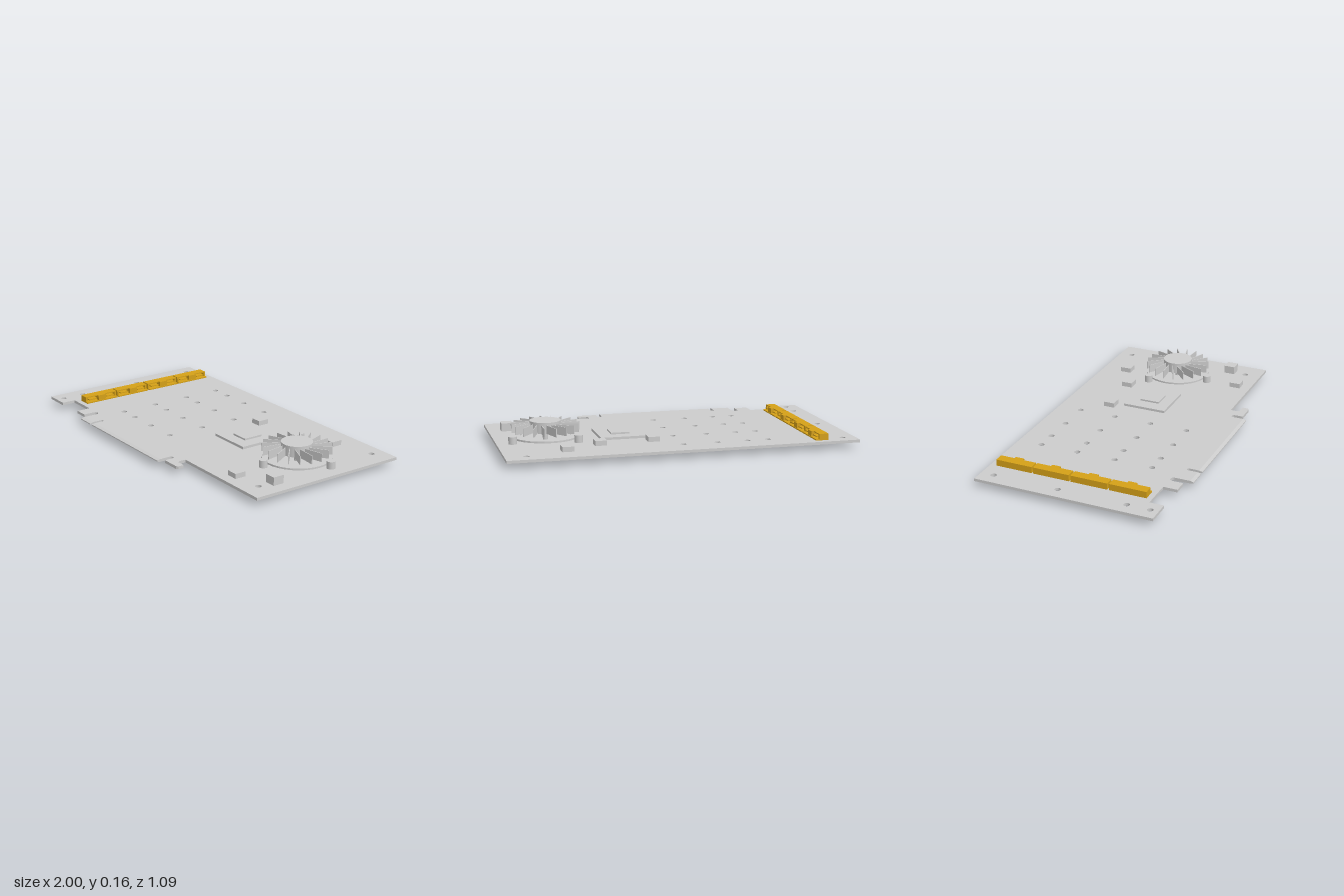
import * as THREE from 'three';

const grey = new THREE.MeshStandardMaterial({ color: 0xcccccc, flatShading: true });
const smooth = new THREE.MeshStandardMaterial({ color: 0xcccccc });
const gold = new THREE.MeshStandardMaterial({ color: 0xd4a017, flatShading: true });
const TOP = 0.048, BOTTOM = 0.032;

export function createModel() {
  const model = new THREE.Group();

  const add = (name, geometry, material = grey, parent = model) => {
    const mesh = new THREE.Mesh(geometry, material);
    mesh.name = name;
    parent.add(mesh);
    return mesh;
  };
  // Box from its lower and upper bounds
  const box = (name, x0, x1, y0, y1, z0, z1, material, parent) =>
    add(name, new THREE.BoxGeometry(x1 - x0, y1 - y0, z1 - z0), material, parent)
      .position.set((x0 + x1) / 2, (y0 + y1) / 2, (z0 + z1) / 2);
  const cylinder = (name, x, z, r, y0, y1, parent, sides = 24) =>
    add(name, new THREE.CylinderGeometry(r, r, y1 - y0, sides), smooth, parent)
      .position.set(x, (y0 + y1) / 2, z);
  // Plan shape (x, z) extruded down from height y
  const slab = (shape, y, depth) =>
    new THREE.ExtrudeGeometry(shape, { depth, bevelEnabled: false, curveSegments: 16 })
      .rotateX(Math.PI / 2).translate(0, y, 0);
  // Profile (-z, y) extruded along x
  const alongX = (shape, x0, x1) =>
    new THREE.ExtrudeGeometry(shape, { depth: x1 - x0, bevelEnabled: false })
      .rotateY(Math.PI / 2).translate(x0, 0, 0);
  const polygon = (points) => new THREE.Shape(points.map(([a, b]) => new THREE.Vector2(a, b)));
  const circle = (x, z, r) => new THREE.Path().absarc(x, z, r, 0, Math.PI * 2, false);
  const rect = (a0, a1, b0, b1) => [[a0, b0], [a1, b0], [a1, b1], [a0, b1]];

  // Circuit board outline with tabs, rounded slots and retention hook
  const edge = 0.525;
  const outline = new THREE.Shape();
  const path = (...points) => points.forEach(([x, z]) => outline.lineTo(x, z));
  const slot = (x0, x1, z) => {
    const r = (x1 - x0) / 2;
    outline.lineTo(x0, z + r);
    outline.absarc(x0 + r, z + r, r, Math.PI, Math.PI * 2, false);
  };
  outline.moveTo(-1, -0.545);
  path([-1, 0.5], [-0.855, 0.5], [-0.855, 0.418], [-0.674, 0.418], [-0.674, 0.5], [-0.594, 0.5]);
  slot(-0.594, -0.556, 0.418);
  path([-0.556, edge], [-0.449, edge]);
  slot(-0.449, -0.428, 0.46);
  path([-0.428, edge], [0.272, edge]);
  slot(0.272, 0.3, 0.45);
  path([0.3, 0.513], [0.405, 0.513], [0.417, 0.503], [0.417, 0.47], [0.368, 0.47],
    [0.358, 0.46], [0.358, 0.418], [1, 0.418], [1, -0.545]);

  // Mounting holes and the grid of cooler holes
  const holes = [[-0.925, -0.468], [-0.925, -0.08], [-0.925, 0.32], [-0.925, 0.453],
    [0.882, -0.468], [0.882, 0.32]];
  for (const x of [-0.5, -0.38, -0.203, -0.005])
    for (const z of [-0.402, -0.177, 0.052, 0.278]) holes.push([x, z]);
  for (const [x, z] of holes) outline.holes.push(circle(x, z, 0.017));
  add('circuitBoard', slab(outline, TOP, TOP - BOTTOM));

  // Bevelled lip of the edge connector
  for (const [x0, x1] of [[-0.556, -0.449], [-0.428, 0.272]])
    add('edgeConnectorLip', alongX(polygon([[-edge, BOTTOM], [-edge, TOP],
      [-0.545, 0.043], [-0.545, 0.037]]), x0, x1));

  // Gold sockets: back block, shell with two openings, a tongue in each
  for (const z0 of [-0.508, -0.283, -0.056, 0.17]) {
    const socket = new THREE.Group();
    socket.name = 'goldSocket';
    model.add(socket);
    const z1 = z0 + 0.217, mid = (z0 + z1) / 2;
    box('socketBack', -0.823, -0.79, TOP, 0.085, z0, z1, gold, socket);
    const shell = polygon(rect(-z1, -z0, TOP, 0.085));
    for (const [a, b] of [[z0 + 0.012, mid - 0.026], [mid + 0.026, z1 - 0.012]]) {
      shell.holes.push(polygon(rect(-b, -a, 0.055, 0.079)));
      box('socketTongue', -0.79, -0.758, 0.064, 0.07, a + 0.008, b - 0.008, gold, socket);
    }
    add('socketShell', alongX(shell, -0.79, -0.768), gold, socket);
    box('socketLip', -0.768, -0.749, TOP, 0.055, z0, z1, gold, socket);
    box('socketKey', -0.768, -0.752, 0.055, 0.085, mid - 0.026, mid + 0.026, gold, socket);
  }

  // Processor package and die
  box('processorPackage', 0.155, 0.417, TOP, 0.062, -0.19, 0.07);
  box('processorDie', 0.235, 0.342, 0.062, 0.072, -0.118, 0);

  // Small block components on both faces
  for (const [x, z, top] of [[0.136, -0.267, 0.076], [0.444, -0.29, 0.076],
    [0.647, -0.39, 0.076], [0.893, 0.22, 0.095], [0.703, 0.325, 0.076]])
    box('blockComponent', x - 0.033, x + 0.033, TOP, top, z - 0.033, z + 0.033);
  for (const z of [0.082, -0.353])
    box('undersideBlock', -0.607, -0.537, 0, BOTTOM, z - 0.033, z + 0.033);

  // Fan: mounting ring on three posts, spindle, hub and upright vanes
  const fan = new THREE.Group();
  fan.name = 'coolingFan';
  fan.position.set(0.713, 0, -0.073);
  model.add(fan);
  const ring = new THREE.Shape().absarc(0, 0, 0.195, 0, Math.PI * 2, false);
  ring.holes.push(circle(0, 0, 0.142));
  add('fanRing', slab(ring, 0.076, 0.01), grey, fan);
  for (const [x, z] of [[-0.028, 0.208], [0.197, -0.077], [-0.166, -0.127]])
    cylinder('fanPost', x, z, 0.024, TOP, 0.09, fan);
  cylinder('fanSpindle', 0, 0, 0.015, TOP, 0.1, fan, 16);
  cylinder('fanHub', 0, 0, 0.088, 0.096, 0.158, fan, 40);
  const vanes = 19;
  for (let i = 0; i < vanes; i++) {
    const vane = new THREE.Group();
    vane.name = 'fanVane';
    vane.rotation.y = (i / vanes) * Math.PI * 2;
    fan.add(vane);
    const blade = add('vaneBlade', new THREE.BoxGeometry(0.118, 0.048, 0.004), grey, vane);
    blade.position.set(0.136, 0.12, 0);
    blade.rotation.y = 0.25;
  }
  return model;
}
